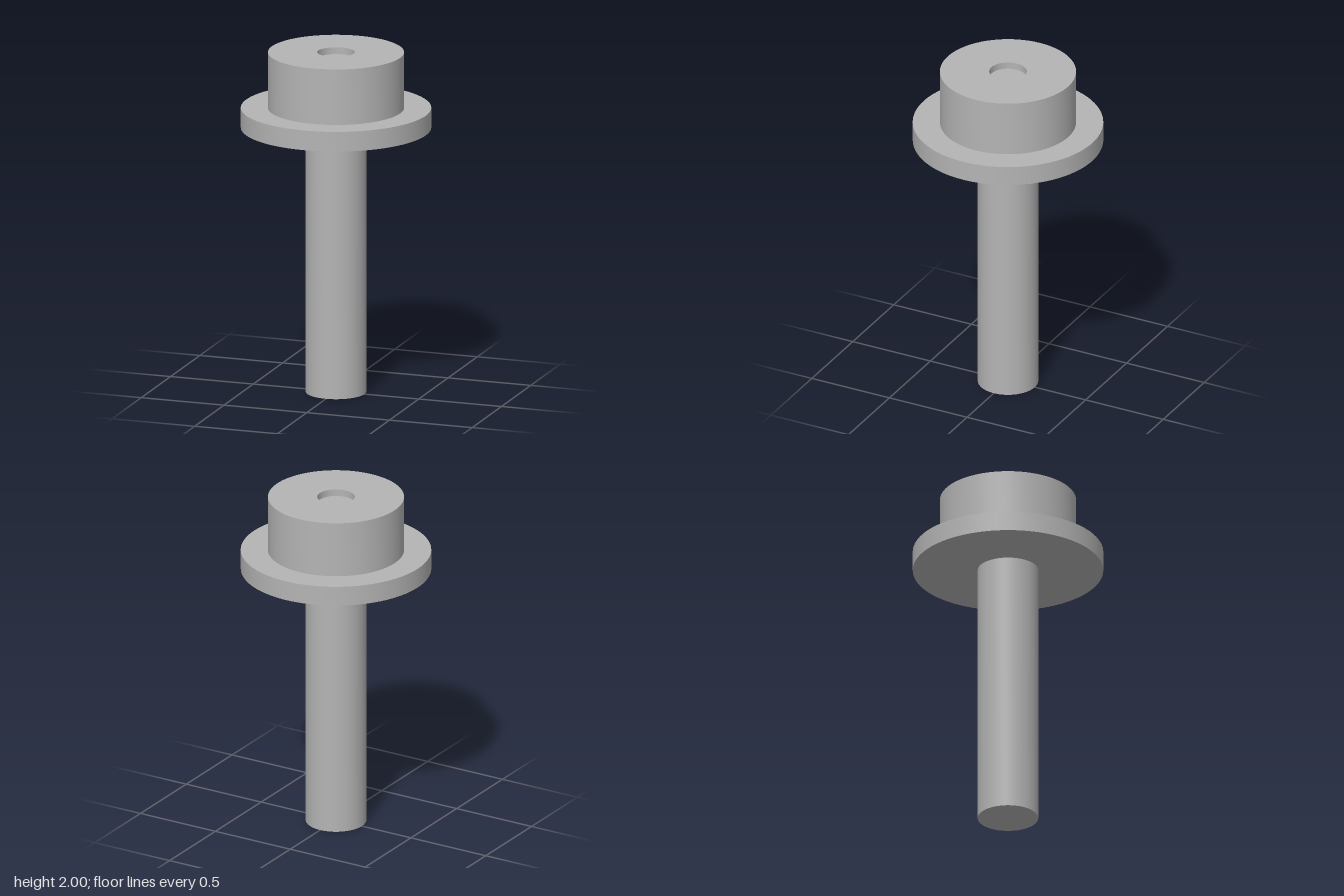
import * as THREE from 'three';
import { toCreasedNormals } from 'three/addons/utils/BufferGeometryUtils.js';

const SHAFT_R = 0.173, FLANGE_R = 0.543, HEAD_R = 0.388, HOLE_R = 0.107;
const FLANGE_Y = 1.557, HEAD_Y = 1.673, TOP_Y = 2, HOLE_Y = 1.96;

export function createModel() {
  const group = new THREE.Group();
  const steel = new THREE.MeshStandardMaterial({ color: 0xb4b4b4 });
  steel.name = 'steel grey';

  // Turned part: profile of [radius, height] points, smooth around, sharp at the rims
  const turn = (name, profile) => {
    const points = profile.map(([r, y]) => new THREE.Vector2(r, y));
    const geometry = toCreasedNormals(new THREE.LatheGeometry(points, 96), Math.PI / 6);
    const mesh = new THREE.Mesh(geometry, steel);
    mesh.name = name;
    group.add(mesh);
  };

  // Long plain shaft with a flat end
  turn('shaft', [[0, 0], [SHAFT_R, 0], [SHAFT_R, FLANGE_Y]]);

  // Wide collar
  turn('flange', [[SHAFT_R, FLANGE_Y], [FLANGE_R, FLANGE_Y], [FLANGE_R, HEAD_Y], [HEAD_R, HEAD_Y]]);

  // Head with a shallow round recess in the top
  turn('head', [[HEAD_R, HEAD_Y], [HEAD_R, TOP_Y], [HOLE_R, TOP_Y], [HOLE_R, HOLE_Y], [0, HOLE_Y]]);

  return group;
}
